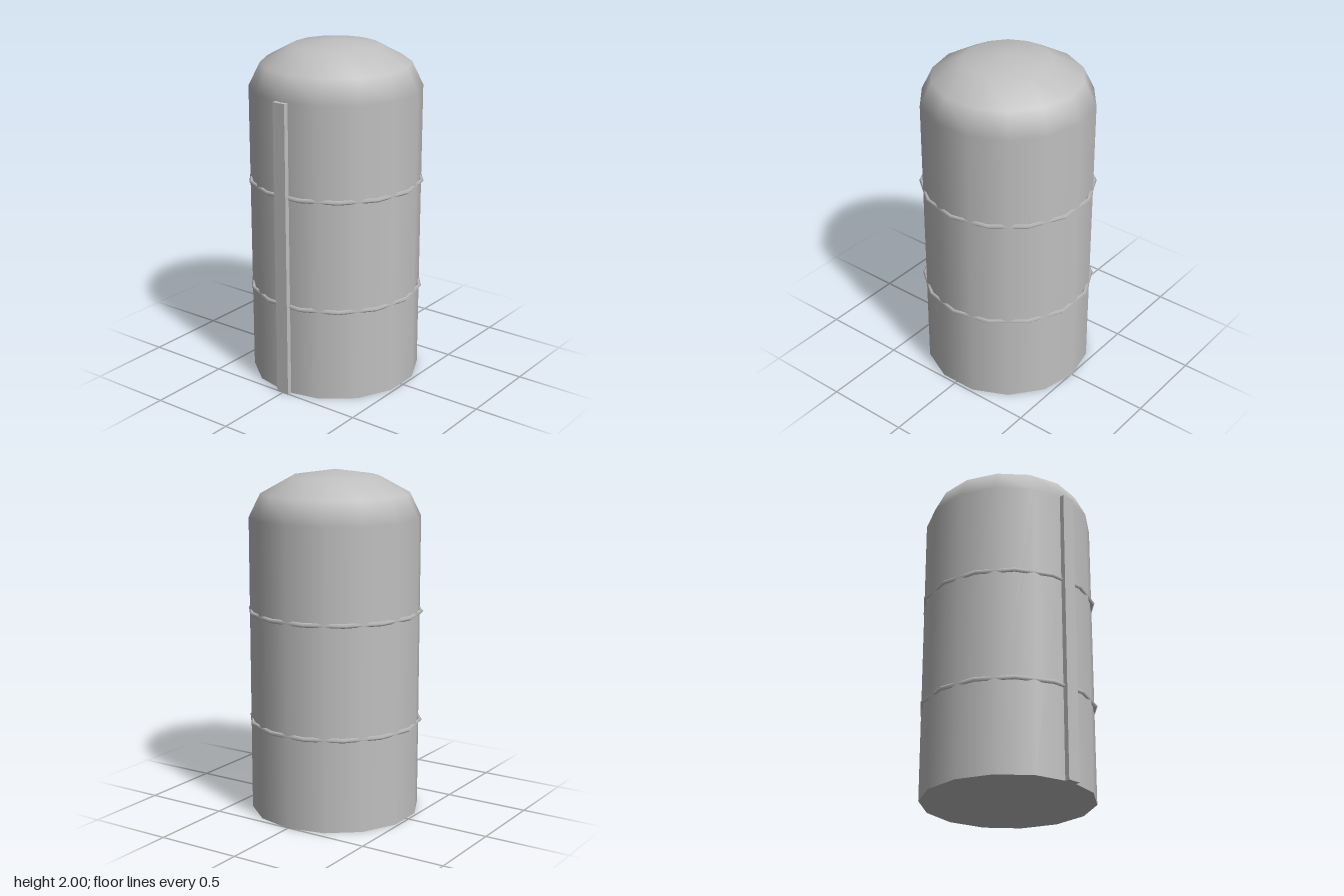
import * as THREE from 'three';

export function createModel() {
  const model = new THREE.Group();
  const metal = new THREE.MeshStandardMaterial({ color: 0xc0c0c0 });
  metal.name = 'grey metal';

  const R = 0.495, SIDES = 14, WALL = 1.73, DOME = 0.27, ZC = -0.01;

  const add = (name, geometry, x, y, z) => {
    const mesh = new THREE.Mesh(geometry, metal);
    mesh.name = name;
    mesh.position.set(x, y, z);
    model.add(mesh);
  };

  // Upright tank wall with a flat base
  add('tankBody', new THREE.CylinderGeometry(R, R, WALL, SIDES), 0, WALL / 2, ZC);

  // Flattened half sphere, its corners lined up with the wall
  const dome = new THREE.SphereGeometry(R, SIDES, 3, 0, Math.PI * 2, 0, Math.PI / 2);
  dome.rotateY(Math.PI / 2);
  dome.scale(1, DOME / R, 1);
  add('domeLid', dome, 0, WALL, ZC);

  // Two thin hoops, turned half a side against the wall
  [['lowerHoop', 0.543], ['upperHoop', 1.192]].forEach(([name, y]) => {
    const hoop = new THREE.TorusGeometry(0.498, 0.013, 4, SIDES);
    hoop.rotateX(Math.PI / 2);
    add(name, hoop, 0, y, ZC);
  });

  // Vertical strip up the front
  add('frontStrip', new THREE.BoxGeometry(0.08, WALL, 0.04), 0, WALL / 2, 0.485);

  return model;
}
